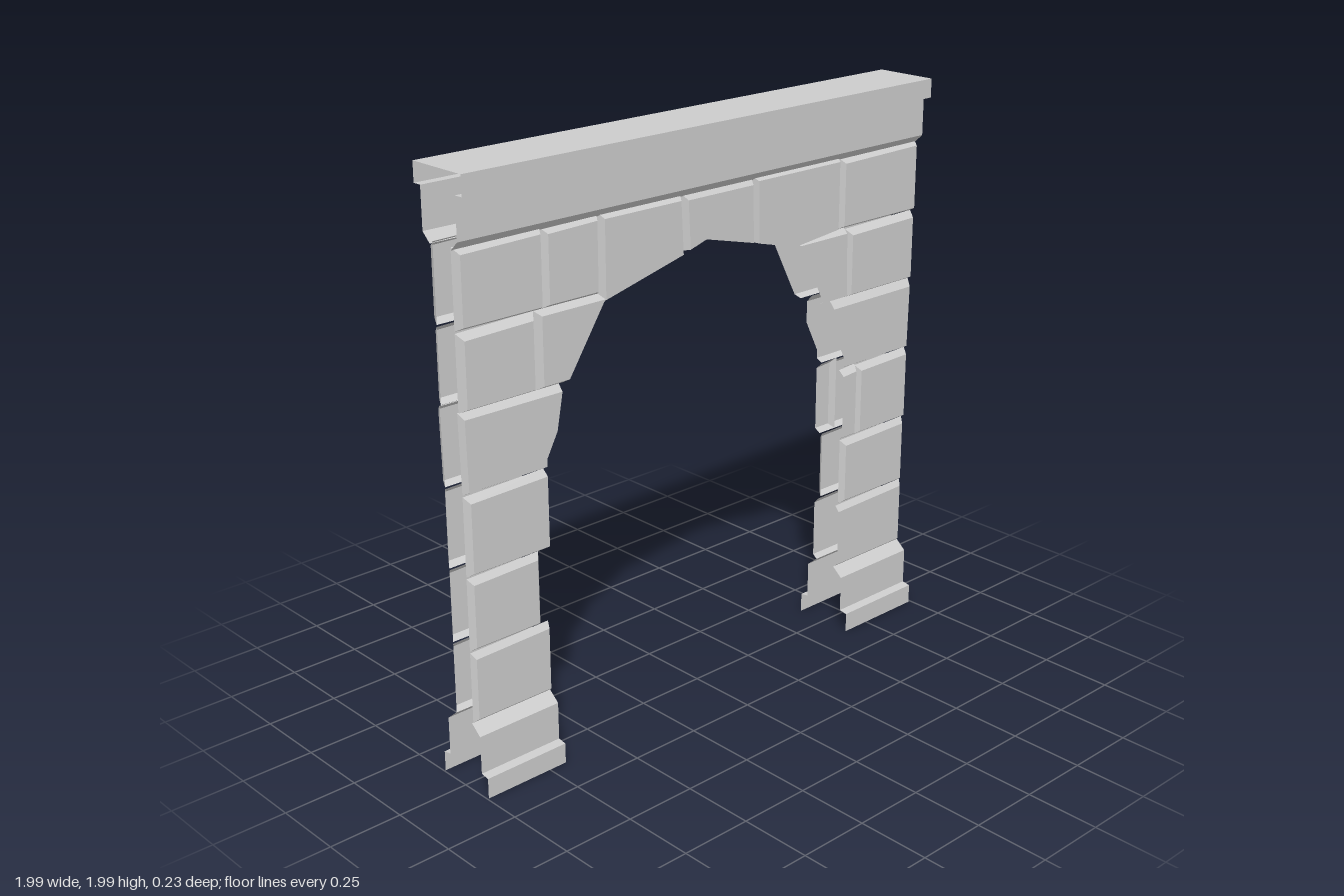
import * as THREE from 'three';

const GROOVE = 0.043; // depth of the joints between stones

const material = new THREE.MeshStandardMaterial({ color: 0xcccccc, flatShading: true, side: THREE.DoubleSide });

function makeMesh(name, positions) {
  const geometry = new THREE.BufferGeometry();
  geometry.setAttribute('position', new THREE.Float32BufferAttribute(positions, 3));
  geometry.computeVertexNormals();
  const mesh = new THREE.Mesh(geometry, material);
  mesh.name = name;
  return mesh;
}

// Moulding: a [y, z] profile, listed upwards, swept along x
function moulding(name, x0, x1, profile) {
  const pos = [];
  for (let i = 0; i < profile.length - 1; i++) {
    const [ya, za] = profile[i], [yb, zb] = profile[i + 1];
    pos.push(x0, ya, za, x1, ya, za, x1, yb, zb, x0, ya, za, x1, yb, zb, x0, yb, zb);
  }
  return makeMesh(name, pos);
}

// Moves every edge of a counter-clockwise outline inwards by its own bevel width
function insetOutline(pts, bevels) {
  const n = pts.length;
  const lines = pts.map((p, i) => {
    const q = pts[(i + 1) % n];
    const d = new THREE.Vector2().subVectors(q, p).normalize();
    return { p: new THREE.Vector2(p.x - d.y * bevels[i], p.y + d.x * bevels[i]), d };
  });
  return lines.map((b, i) => {
    const a = lines[(i + n - 1) % n];
    const t = new THREE.Vector2().subVectors(b.p, a.p).cross(b.d) / a.d.cross(b.d);
    return a.p.clone().addScaledVector(a.d, t);
  });
}

// Stone: front face with sloping edges down to the joints; bevel 0 leaves a cut edge
function stone(name, outline, bevels, depth = 0.065) {
  const outer = outline.map(([x, y]) => new THREE.Vector2(x, y));
  const face = insetOutline(outer, bevels);
  const pos = [];
  for (const tri of THREE.ShapeUtils.triangulateShape(face, [])) {
    for (const k of tri) pos.push(face[k].x, face[k].y, depth);
  }
  outer.forEach((a, i) => {
    if (bevels[i] === 0) return;
    const j = (i + 1) % outer.length, b = outer[j], c = face[j], d = face[i];
    pos.push(a.x, a.y, GROOVE, b.x, b.y, GROOVE, c.x, c.y, depth);
    pos.push(a.x, a.y, GROOVE, c.x, c.y, depth, d.x, d.y, depth);
  });
  return makeMesh(name, pos);
}

// Four-sided stone; bevels run bottom, right, top, left
const quadStone = (name, x0, x1, y0, y1, right, left, depth) =>
  stone(name, [[x0, y0], [x1, y0], [x1, y1], [x0, y1 - 0.006]], [0.014, right, 0.02, left], depth);

function createFacade() {
  const facade = new THREE.Group();

  // Plinths under both legs
  const plinth = [[0, 0.113], [0.07, 0.113], [0.075, 0.082], [0.205, 0.082], [0.238, GROOVE]];
  facade.add(
    moulding('leftPlinth', 0.64, 0.99, plinth),
    moulding('rightPlinth', -0.995, -0.685, plinth),
    moulding('frieze', -0.995, 0.99, [[1.755, 0.05], [1.785, 0.082], [1.92, 0.082]])
  );

  // Leg on the -x side
  facade.add(
    quadStone('rightLegStone1', -0.99, -0.685, 0.238, 0.485, 0.008, 0.012, 0.06),
    quadStone('rightLegStone2', -0.99, -0.715, 0.485, 0.735, 0.016, 0.014, 0.062),
    quadStone('rightLegStone3', -0.99, -0.685, 0.735, 1.003, 0, 0.014),
    stone('rightLegStone4',
      [[-0.99, 1.003], [-0.685, 1.003], [-0.685, 1.04], [-0.642, 1.12], [-0.615, 1.262], [-0.995, 1.265]],
      [0.012, 0, 0, 0, 0.02, 0.01])
  );

  // Leg on the +x side
  facade.add(
    quadStone('leftLegStone1', 0.642, 0.988, 0.238, 0.485, 0.014, 0, 0.06),
    quadStone('leftLegStone2', 0.655, 0.985, 0.485, 0.735, 0.014, 0.014, 0.062),
    quadStone('leftLegStone3Inner', 0.642, 0.72, 0.735, 1.003, 0.012, 0),
    quadStone('leftLegStone3Outer', 0.72, 0.985, 0.735, 1.003, 0.012, 0.016),
    stone('leftLegStone4',
      [[0.642, 1.003], [0.985, 1.003], [0.99, 1.262], [0.585, 1.262], [0.585, 1.16], [0.642, 1.045]],
      [0.012, 0.012, 0.025, 0, 0, 0])
  );

  // Shoulder course where the arch begins
  facade.add(
    quadStone('rightShoulderStone', -0.99, -0.705, 1.262, 1.512, 0.02, 0.014, 0.07),
    stone('rightSpringerStone',
      [[-0.705, 1.262], [-0.6, 1.262], [-0.45, 1.49], [-0.42, 1.512], [-0.705, 1.512]],
      [0.014, 0, 0, 0.015, 0.015], 0.068),
    stone('leftSpringerStone',
      [[0.53, 1.265], [0.655, 1.265], [0.645, 1.512], [0.4, 1.512], [0.412, 1.493]],
      [0.01, 0.01, 0.015, 0, 0], 0.068),
    quadStone('leftShoulderStone', 0.65, 0.988, 1.262, 1.512, 0.014, 0.014, 0.07)
  );

  // Top course with the arch cut from its underside
  const top = 1.768;
  facade.add(
    quadStone('topStone1', -0.99, -0.675, 1.512, top, 0.014, 0.012, 0.07),
    quadStone('topStone2', -0.675, -0.455, 1.512, top, 0.016, 0.016, 0.068),
    stone('topStone3', [[-0.455, 1.492], [-0.105, 1.578], [-0.115, top], [-0.455, top]],
      [0, 0.018, 0.02, 0.012], 0.07),
    stone('topStone4', [[-0.105, 1.578], [-0.02, 1.603], [0.2, 1.548], [0.195, top], [-0.115, top]],
      [0, 0, 0.01, 0.025, 0.016], 0.066),
    stone('topStone5', [[0.2, 1.548], [0.412, 1.493], [0.605, 1.512], [0.605, top], [0.195, top]],
      [0, 0.01, 0.016, 0.015, 0.012], 0.07),
    quadStone('topStone6', 0.605, 0.99, 1.512, top, 0.012, 0.014, 0.07)
  );
  return facade;
}

export function createModel() {
  const model = new THREE.Group();
  model.name = 'stoneArchway';

  // Matching front and back walls
  const front = createFacade();
  front.name = 'frontWall';
  const back = front.clone();
  back.name = 'backWall';
  back.scale.z = -1;

  // Capping slab joining both walls, open at the ends
  const cap = moulding('capSlab', -0.995, 0.99, [
    [1.92, 0.082], [1.92, 0.113], [1.985, 0.113],
    [1.985, -0.113], [1.92, -0.113], [1.92, -0.082],
  ]);
  model.add(front, back, cap);
  return model;
}
